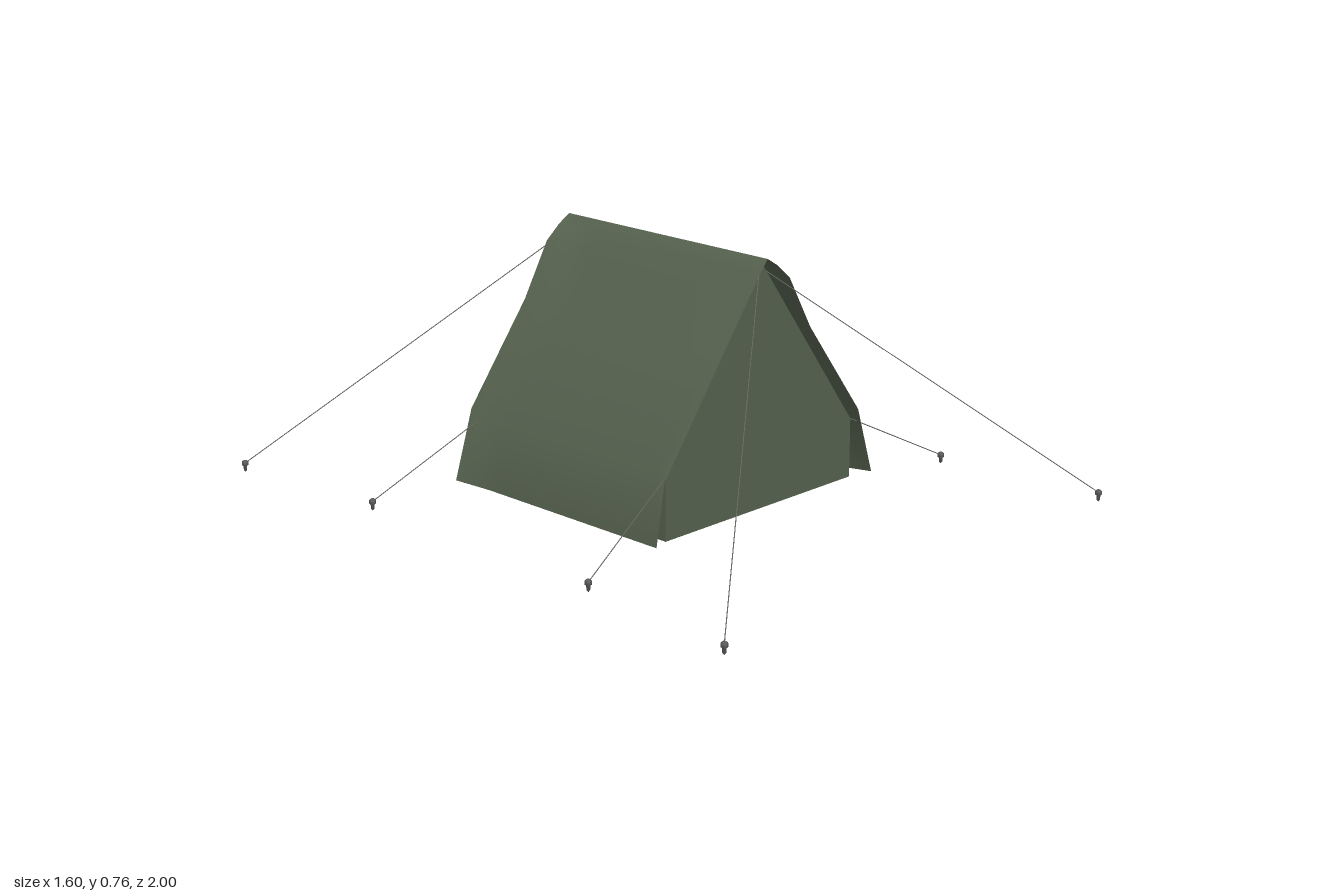
import * as THREE from 'three';

const canvas = new THREE.MeshStandardMaterial({ color: 0x56624f, side: THREE.DoubleSide });
const sheetMat = new THREE.MeshStandardMaterial({ color: 0x3c443a });
const ropeMat = new THREE.MeshStandardMaterial({ color: 0x6a6a64 });
const pegMat = new THREE.MeshStandardMaterial({ color: 0x5a5a5a });

function add(parent, name, geometry, material) {
  const mesh = new THREE.Mesh(geometry, material);
  mesh.name = name;
  parent.add(mesh);
  return mesh;
}

// Gable outline, shrunk by an even margin for the inside
function gable(m) {
  const w = 0.385 - m, base = 0.03 + m, eave = 0.21 - m * 0.35, peak = 0.74 - m * 1.7;
  return [[-w, base], [w, base], [w, eave], [0, peak], [-w, eave]].map(p => new THREE.Vector2(...p));
}

// Outer sheet: half profiles from ridge to hem, at rest and at a loose corner
const REST = [[0, 0.76], [0.03, 0.723], [0.07, 0.668], [0.19, 0.505], [0.395, 0.23], [0.43, 0.022]];
const LOOSE = [[0, 0.76], [0.04, 0.735], [0.09, 0.692], [0.18, 0.53], [0.395, 0.238], [0.46, 0.03]];

function flySheet() {
  const rows = 24, n = REST.length, cols = 2 * n - 1;
  const pos = [], index = [];
  for (let r = 0; r <= rows; r++) {
    const t = (r / rows) * 2 - 1;
    for (let c = 0; c < cols; c++) {
      const k = Math.abs(c - (n - 1)), side = Math.sign(c - (n - 1));
      // the front left and back right corners hang looser
      const u = (1 + t * side) / 2;
      const w = 0.3 * u + 0.7 * Math.max(0, (u - 0.85) / 0.15);
      const x = 0.007 + side * THREE.MathUtils.lerp(REST[k][0], LOOSE[k][0], w);
      const y = THREE.MathUtils.lerp(REST[k][1], LOOSE[k][1], w);
      pos.push(x, y, -0.006 + t * 0.4 + x * 0.015);
      if (r < rows && c < cols - 1) {
        const a = r * cols + c, b = a + cols;
        index.push(a, b, a + 1, b, b + 1, a + 1);
      }
    }
  }
  const g = new THREE.BufferGeometry();
  g.setAttribute('position', new THREE.Float32BufferAttribute(pos, 3));
  g.setIndex(index);
  g.computeVertexNormals();
  return g;
}

// Rope from the tent to a peg, plus the peg itself
function guyLine(parent, from, to) {
  const line = new THREE.LineCurve3(new THREE.Vector3(...from), new THREE.Vector3(...to));
  add(parent, 'guyRope', new THREE.TubeGeometry(line, 1, 0.0015, 5), ropeMat);
  const profile = [[0, 0], [0.005, 0.006], [0.006, 0.02], [0.01, 0.022], [0.01, 0.032], [0.006, 0.036], [0, 0.036]];
  const peg = add(parent, 'peg', new THREE.LatheGeometry(profile.map(p => new THREE.Vector2(...p)), 10), pegMat);
  peg.position.set(to[0], 0, to[2]);
}

export function createModel() {
  const tent = new THREE.Group();
  tent.name = 'tent';

  // Inner tent: hollow gabled shell, open at the back
  const shell = new THREE.Shape(gable(0));
  shell.holes.push(new THREE.Path(gable(0.025).reverse()));
  const body = add(tent, 'innerTent', new THREE.ExtrudeGeometry(shell, { depth: 0.77, bevelEnabled: false }), canvas);
  body.position.z = -0.385;

  // Closed front wall
  const wall = add(tent, 'frontWall',
    new THREE.ExtrudeGeometry(new THREE.Shape(gable(0.001)), { depth: 0.012, bevelEnabled: false }), canvas);
  wall.position.z = 0.374;

  // Groundsheet under the floor
  const sheet = add(tent, 'groundsheet', new THREE.BoxGeometry(0.7, 0.006, 0.7), sheetMat);
  sheet.position.y = 0.03;

  add(tent, 'flySheet', flySheet(), canvas);

  // Ridge and corner guy lines at both ends and on both sides
  const lines = new THREE.Group();
  lines.name = 'guyLines';
  tent.add(lines);
  for (const x of [-1, 1]) {
    for (const z of [-1, 1]) {
      guyLine(lines, [0, 0.735, 0.37 * z], [0.79 * x, 0.028, 0.988 * z]);
      guyLine(lines, [0.385 * x, 0.21, 0.38 * z], [0.738 * x, 0.028, 0.448 * z]);
    }
  }
  return tent;
}
